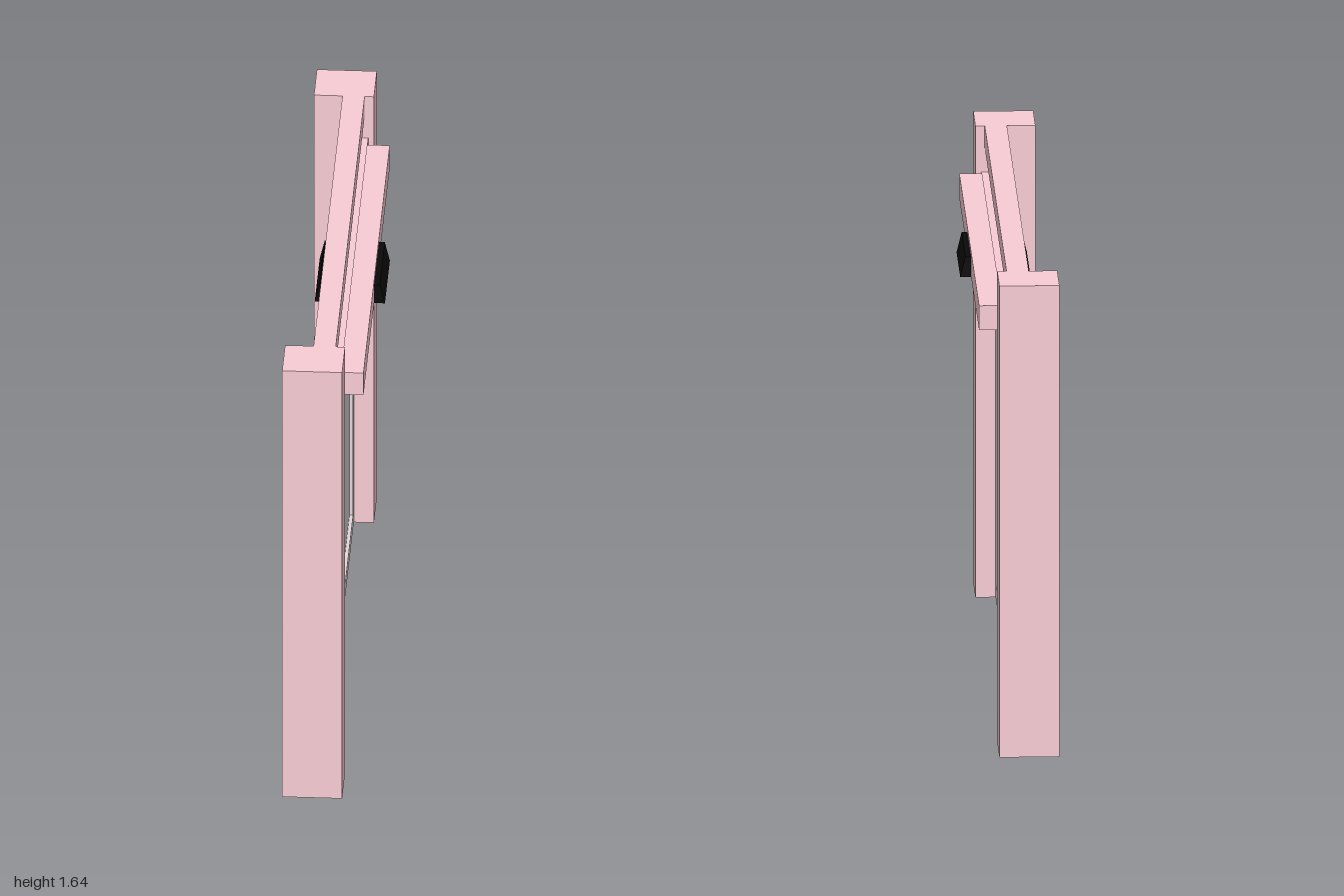
import * as THREE from 'three';

const pink = new THREE.MeshStandardMaterial({ color: 0xf8ccd4 });
const frameMat = new THREE.MeshStandardMaterial({ color: 0xe4d6d9 });
const glassMat = new THREE.MeshStandardMaterial({ color: 0xcccccc });
const black = new THREE.MeshStandardMaterial({ color: 0x0a0a0a });

// Box given by its extents along each axis
function block(name, mat, [x0, x1], [y0, y1], [z0, z1]) {
  const mesh = new THREE.Mesh(new THREE.BoxGeometry(x1 - x0, y1 - y0, z1 - z0), mat);
  mesh.position.set((x0 + x1) / 2, (y0 + y1) / 2, (z0 + z1) / 2);
  mesh.name = name;
  return mesh;
}

// Rectangular frame in the z/y plane with one opening, plus its pane
function doorLeaf(name, z0, z1) {
  const leaf = new THREE.Group();
  leaf.name = name;
  const y0 = 0.01, y1 = 1.41, border = 0.042, back = -0.05, front = -0.015;
  const rect = (path, a, b, c, d) =>
    path.moveTo(a, c).lineTo(b, c).lineTo(b, d).lineTo(a, d).closePath();
  const outline = new THREE.Shape();
  rect(outline, -z1, -z0, y0, y1);
  const hole = new THREE.Path();
  rect(hole, -z1 + border, -z0 - border, y0 + border, y1 - border);
  outline.holes.push(hole);
  const geometry = new THREE.ExtrudeGeometry(outline, { depth: front - back, bevelEnabled: false });
  geometry.rotateY(Math.PI / 2);
  geometry.translate(back, 0, 0);
  const frame = new THREE.Mesh(geometry, frameMat);
  frame.name = 'doorFrame';
  leaf.add(frame);
  leaf.add(block('doorGlass', glassMat, [-0.039, -0.027],
    [y0 + border, y1 - border], [z0 + border, z1 - border]));
  return leaf;
}

// Wedge-fronted motion sensor that grows outwards along +x
function sensor(name) {
  const profile = new THREE.Shape();
  profile.moveTo(0, 1.412).lineTo(0.036, 1.412).lineTo(0.019, 1.482).lineTo(0, 1.482).closePath();
  const geometry = new THREE.ExtrudeGeometry(profile, { depth: 0.284, bevelEnabled: false });
  geometry.translate(0, 0, -0.142);
  const mesh = new THREE.Mesh(geometry, black);
  mesh.name = name;
  return mesh;
}

export function createModel() {
  const model = new THREE.Group();
  model.name = 'slidingDoorway';
  const span = [-0.83, 0.83];

  // Side posts
  model.add(block('leftPost', pink, [-0.148, 0.052], [0, 1.64], [0.83, 1]));
  model.add(block('rightPost', pink, [-0.148, 0.052], [0, 1.64], [-1, -0.83]));

  // Beams, transom pane and drive cover
  model.add(block('topBeam', pink, [-0.053, 0.021], [1.565, 1.64], span));
  model.add(block('header', pink, [-0.053, 0.033], [1.41, 1.48], span));
  model.add(block('headerBackBoard', pink, [-0.053, -0.03], [1.48, 1.535], span));
  model.add(block('transomGlass', glassMat, [-0.03, -0.015], [1.48, 1.565], span));
  model.add(block('driveCover', pink, [0.033, 0.109], [1.413, 1.498], [-0.755, 0.755]));

  // Two door leaves over a thin floor track
  model.add(doorLeaf('leftDoor', 0.002, 0.83));
  model.add(doorLeaf('rightDoor', -0.83, -0.002));
  model.add(block('floorTrack', frameMat, [-0.05, -0.015], [0.002, 0.01], span));

  // Sensors on both faces
  const outer = sensor('outerSensor');
  outer.position.x = 0.109;
  const inner = sensor('innerSensor');
  inner.rotation.y = Math.PI;
  inner.position.x = -0.053;
  model.add(outer, inner);
  return model;
}
